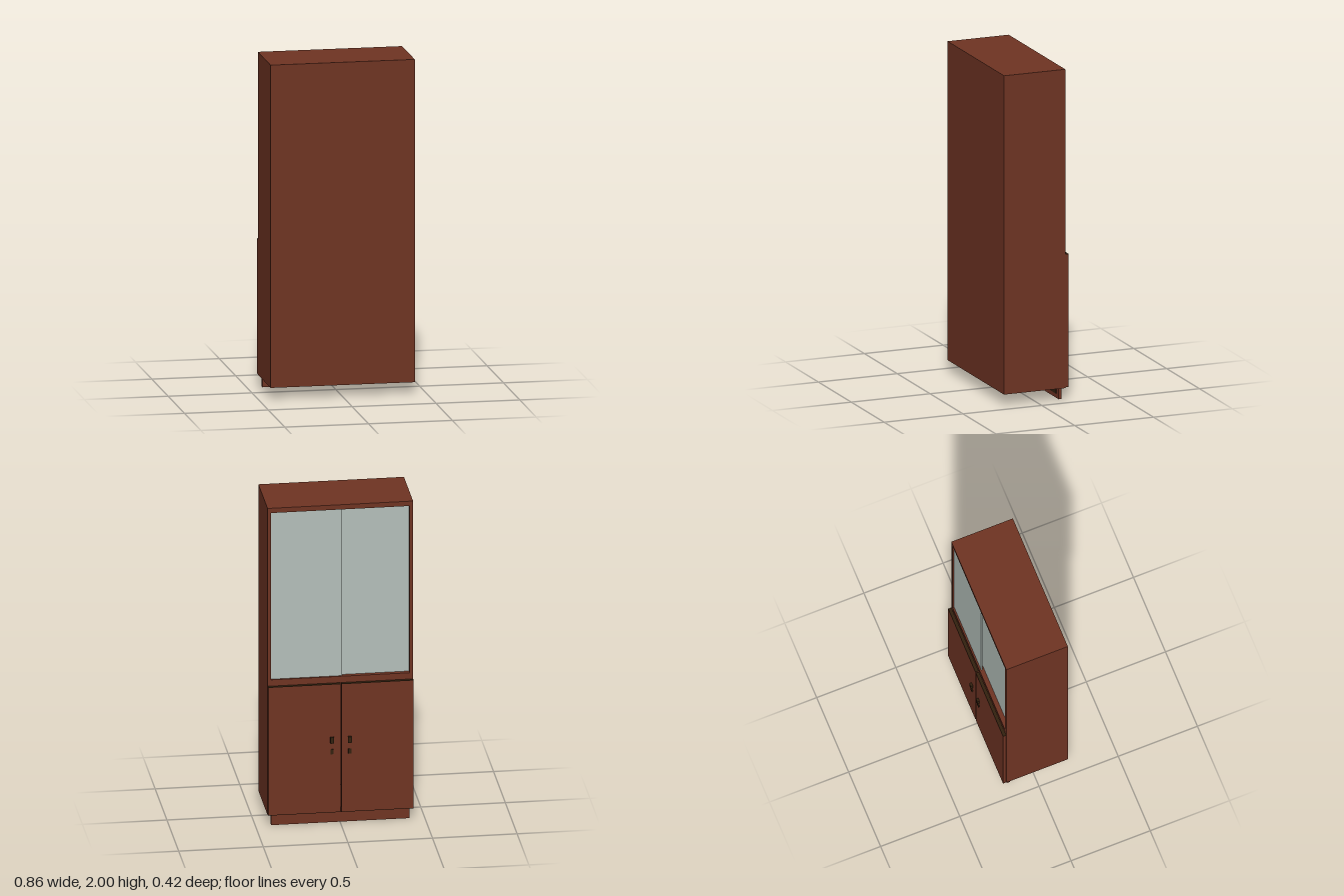
import * as THREE from 'three';

export function createModel() {
  const mat = (name, color) => {
    const m = new THREE.MeshStandardMaterial({ color });
    m.name = name;
    return m;
  };
  const wood = mat('reddish wood', 0x6f3423);
  const dark = mat('dark brown', 0x33210f);
  const glass = mat('grey glass', 0xb4bfba);

  const root = new THREE.Group();
  root.name = 'cabinet';

  // Box given by its minimum and maximum on each axis
  const box = (name, material, [x0, x1], [y0, y1], [z0, z1], parent = root) => {
    const mesh = new THREE.Mesh(new THREE.BoxGeometry(x1 - x0, y1 - y0, z1 - z0), material);
    mesh.position.set((x0 + x1) / 2, (y0 + y1) / 2, (z0 + z1) / 2);
    mesh.name = name;
    parent.add(mesh);
    return mesh;
  };

  // Carcass: closed panel on +z, door side on -z
  const W = 0.43, T = 0.02, B = 0.07, H = 2, Z0 = -0.178, Z1 = 0.21;
  const inner = [-W + T, W - T];
  box('largePanel', wood, inner, [B + T, H - 0.03], [Z1 - T, Z1]);
  box('topBoard', wood, inner, [H - 0.03, H], [Z0, Z1]);
  box('bottomBoard', wood, inner, [B, B + T], [Z0, Z1]);
  box('middleBoard', wood, inner, [0.88, 0.92], [Z0, Z1 - T]);
  for (const [name, s] of [['leftSide', 1], ['rightSide', -1]]) {
    const x = s * (W - T / 2);
    box(name, wood, [x - T / 2, x + T / 2], [B, H], [Z0, Z1]);
  }

  // Sliding panes on two tracks, overlapping at the centre
  box('leftPane', glass, [-0.012, W - T], [0.92, H - 0.03], [-0.168, -0.16]);
  box('rightPane', glass, [-W + T, 0.012], [0.92, H - 0.03], [-0.15, -0.142]);

  // Lower doors with dark top and bottom edges, knobs and locks
  for (const [name, x, s] of [['leftDoor', [0.002, 0.428], 1], ['rightDoor', [-0.43, -0.004], -1]]) {
    const door = new THREE.Group();
    door.name = name;
    root.add(door);
    const z = [-0.199, Z0 - 0.001];
    box('doorPanel', wood, x, [0.077, 0.878], z, door);
    box('topEdge', dark, x, [0.878, 0.881], z, door);
    box('bottomEdge', dark, x, [0.074, 0.077], z, door);
    const cx = s * 0.052;
    box('knob', dark, [cx - 0.011, cx + 0.011], [0.512, 0.55], [-0.213, -0.199], door);
    box('lock', dark, [cx - 0.009, cx + 0.009], [0.443, 0.472], [-0.206, -0.199], door);
  }

  // Plinth under the door side, with a dark patch on its inner face
  box('plinth', wood, [-0.41, 0.407], [0, B], [-0.165, -0.146]);
  box('plinthInnerFace', dark, [-0.2, 0.37], [0.025, 0.066], [-0.146, -0.144]);

  return root;
}
